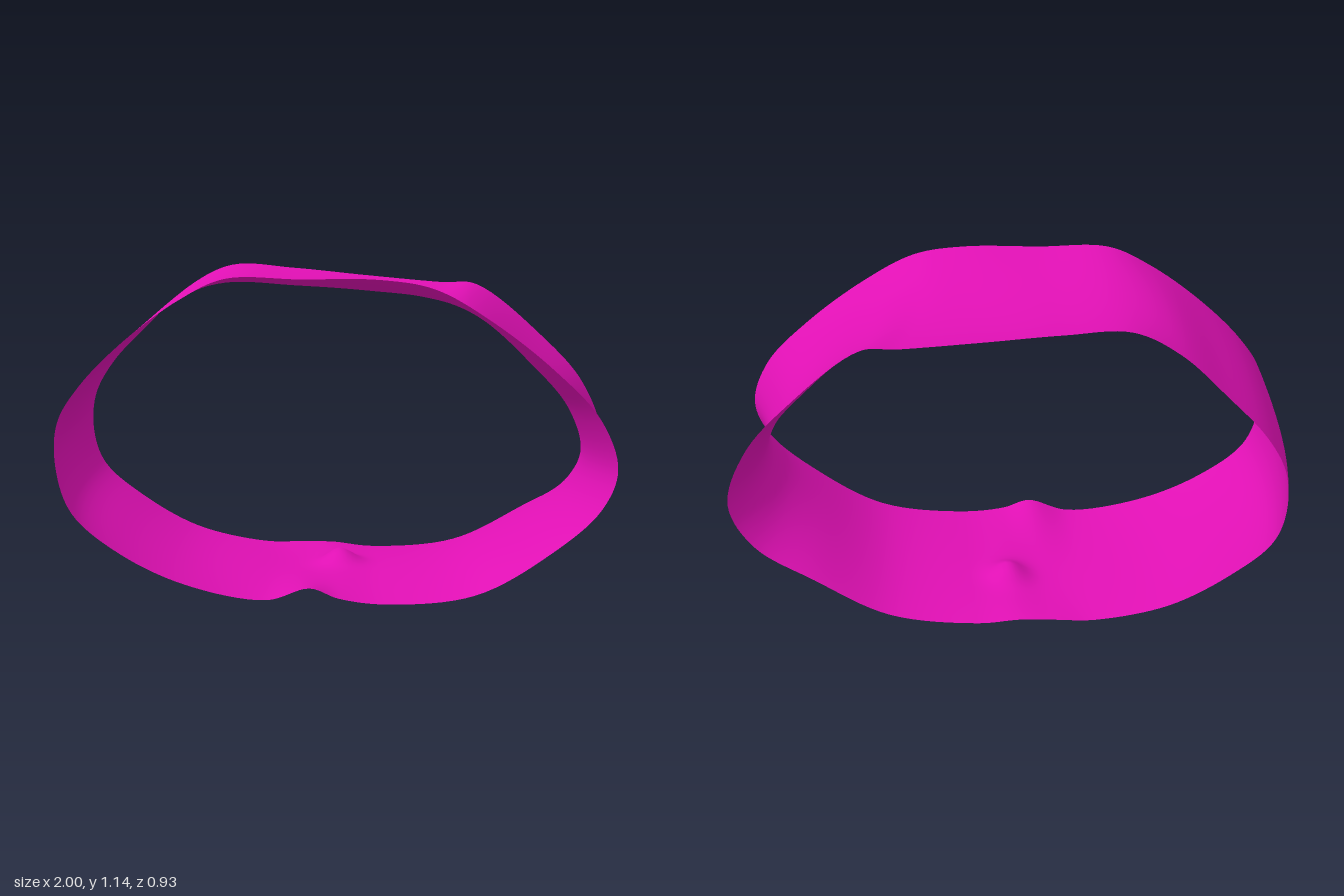
import * as THREE from 'three';

// Outlines of the band as x, y pairs, from the top left corner
// down the -x side, along the bottom and up the +x side.
const FRONT = [
  -0.40, 1.14, -0.55, 1.07, -0.74, 0.93, -0.90, 0.77, -0.98, 0.64, -0.99, 0.48,
  -0.94, 0.32, -0.78, 0.18, -0.55, 0.07, -0.27, 0.02, -0.12, 0.065, -0.02, 0.03,
  0.15, 0.012, 0.45, 0.05, 0.70, 0.20, 0.87, 0.36, 0.92, 0.50, 0.86, 0.67,
  0.70, 0.84, 0.48, 1.01, 0.30, 1.11, 0.12, 1.14, -0.15, 1.14,
];
const MIDDLE = [
  -0.40, 1.09, -0.56, 1.04, -0.73, 0.90, -0.88, 0.75, -0.965, 0.61, -0.99, 0.48,
  -0.945, 0.32, -0.79, 0.19, -0.55, 0.07, -0.27, 0.02, -0.12, 0.02, 0.00, 0.03,
  0.15, 0.03, 0.45, 0.075, 0.68, 0.22, 0.825, 0.365, 0.865, 0.485, 0.81, 0.65,
  0.67, 0.815, 0.46, 1.00, 0.30, 1.04, 0.11, 1.06, -0.15, 1.08,
];
const BACK = [
  -0.38, 1.11, -0.54, 1.03, -0.70, 0.88, -0.84, 0.73, -0.91, 0.60, -0.92, 0.45,
  -0.88, 0.33, -0.75, 0.21, -0.53, 0.08, -0.27, 0.02, -0.12, 0.02, 0.00, 0.02,
  0.15, 0.005, 0.46, 0.04, 0.72, 0.18, 0.92, 0.31, 1.00, 0.47, 0.93, 0.67,
  0.77, 0.85, 0.52, 1.045, 0.40, 1.05, 0.11, 1.075, -0.15, 1.10,
];

// Closed curve through an outline; depth(x, y) tilts the edge
function outline(pairs, depth) {
  const points = [];
  for (let i = 0; i < pairs.length; i += 2) {
    points.push(new THREE.Vector3(pairs[i], pairs[i + 1], depth(pairs[i], pairs[i + 1])));
  }
  return new THREE.CatmullRomCurve3(points, true, 'centripetal');
}

// Open band lofted from front edge through the waist to the back edge
function bandGeometry(around = 184, across = 24) {
  const frontZ = (x) => 0.36 + 0.11 * x;
  const backZ = (x, y) => -0.355 + 0.11 * x + 0.08 * (y - 0.5);
  const front = outline(FRONT, frontZ);
  const middle = outline(MIDDLE, (x, y) => (frontZ(x) + backZ(x, y)) / 2);
  const back = outline(BACK, backZ);
  const positions = [];
  const indices = [];

  for (let i = 0; i < around; i++) {
    const f = front.getPoint(i / around);
    const m = middle.getPoint(i / around);
    const b = back.getPoint(i / around);
    for (let j = 0; j <= across; j++) {
      const v = j / across;
      const p = new THREE.Vector3()
        .addScaledVector(f, (1 - v) * (1 - 2 * v))
        .addScaledVector(m, 4 * v * (1 - v))
        .addScaledVector(b, v * (2 * v - 1));
      // Small raised dent in the floor of the band
      if (p.y < 0.3) {
        const d2 = (p.x - 0.01) ** 2 + (p.z + 0.11) ** 2;
        p.y += 0.05 * Math.exp(-d2 / 0.004);
      }
      positions.push(p.x, Math.max(p.y, 0), p.z);
    }
  }

  const row = across + 1;
  for (let i = 0; i < around; i++) {
    const next = (i + 1) % around;
    for (let j = 0; j < across; j++) {
      const a = i * row + j;
      const b = next * row + j;
      indices.push(a, a + 1, b, b, a + 1, b + 1);
    }
  }

  const geometry = new THREE.BufferGeometry();
  geometry.setAttribute('position', new THREE.Float32BufferAttribute(positions, 3));
  geometry.setIndex(indices);
  geometry.computeVertexNormals();
  return geometry;
}

export function createModel() {
  const magenta = new THREE.MeshStandardMaterial({ color: 0xe010b4, side: THREE.DoubleSide });
  magenta.name = 'magenta';

  const band = new THREE.Mesh(bandGeometry(), magenta);
  band.name = 'band';

  const model = new THREE.Group();
  model.name = 'fabricBand';
  model.add(band);
  return model;
}
